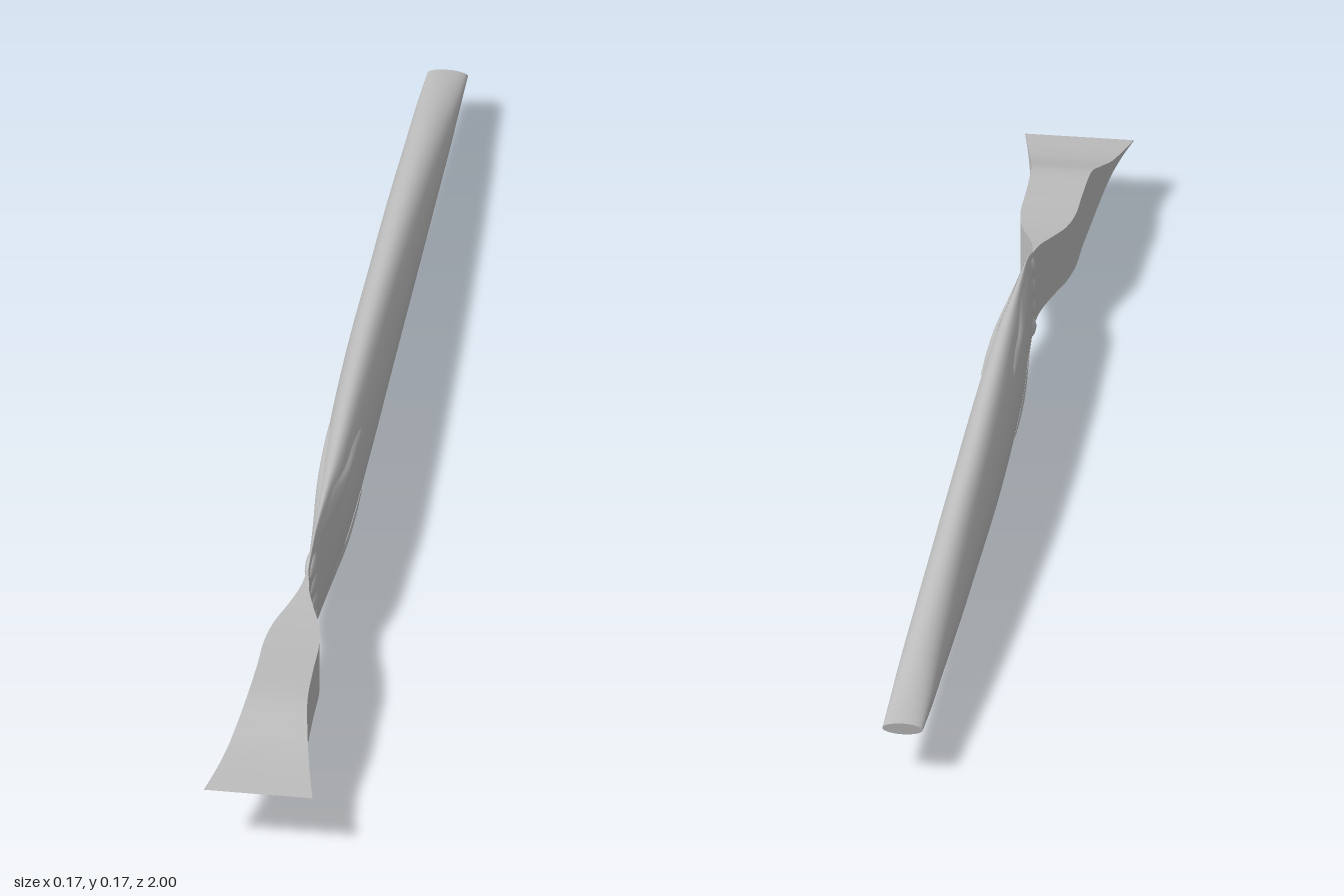
import * as THREE from 'three';
import { mergeVertices } from 'three/addons/utils/BufferGeometryUtils.js';

// Smooth lookup of a row of values by z; rows are [z, ...values], z ascending
function profile(rows) {
  return (z) => {
    let i = 0;
    while (i < rows.length - 2 && z > rows[i + 1][0]) i++;
    const at = (k) => rows[Math.min(Math.max(k, 0), rows.length - 1)];
    const [p, a, b, n] = [at(i - 1), at(i), at(i + 1), at(i + 2)];
    const d = b[0] - a[0];
    const t = Math.min(Math.max((z - a[0]) / d, 0), 1);
    return a.slice(1).map((va, k) => {
      const vb = b[k + 1];
      const ma = (vb - p[k + 1]) / (b[0] - p[0]) * d;
      const mb = (n[k + 1] - va) / (n[0] - a[0]) * d;
      const t2 = t * t, t3 = t2 * t;
      return va * (2 * t3 - 3 * t2 + 1) + ma * (t3 - 2 * t2 + t) + vb * (3 * t2 - 2 * t3) + mb * (t3 - t2);
    });
  };
}

// Grid surface from a rule f(u, v) -> [x, y, z]
function surface(nu, nv, f) {
  const pos = [], index = [];
  for (let j = 0; j <= nv; j++) for (let i = 0; i <= nu; i++) pos.push(...f(i / nu, j / nv));
  for (let j = 0; j < nv; j++) for (let i = 0; i < nu; i++) {
    const a = j * (nu + 1) + i, c = a + nu + 1;
    index.push(a, a + 1, c, a + 1, c + 1, c);
  }
  let g = new THREE.BufferGeometry();
  g.setAttribute('position', new THREE.Float32BufferAttribute(pos, 3));
  g.setIndex(index);
  g = mergeVertices(g, 1e-5);
  g.computeVertexNormals();
  return g;
}

// Long body: z, centre x, centre y, half width, half height
const body = profile([
  [-1, -0.003, 0.071, 0.031, 0.009],
  [-0.9, -0.004, 0.073, 0.033, 0.021],
  [-0.8, -0.004, 0.076, 0.034, 0.033],
  [-0.6, -0.005, 0.08, 0.035, 0.05],
  [-0.4, -0.005, 0.083, 0.035, 0.063],
  [-0.2, -0.005, 0.086, 0.035, 0.072],
  [0, -0.003, 0.088, 0.033, 0.079],
  [0.2, 0, 0.088, 0.027, 0.083],
  [0.3, 0, 0.088, 0.018, 0.085],
  [0.4, 0, 0.088, 0.009, 0.084],
  [0.44, 0, 0.088, 0.006, 0.076],
  [0.48, 0, 0.088, 0.002, 0.062],
]);
// Flared tip: z, half width, half height
const tip = profile([
  [0.48, 0.001, 0.062],
  [0.52, 0.007, 0.056],
  [0.56, 0.02, 0.05],
  [0.6, 0.034, 0.046],
  [0.65, 0.042, 0.044],
  [0.72, 0.043, 0.044],
  [0.8, 0.046, 0.043],
  [0.85, 0.053, 0.028],
  [0.9, 0.062, 0.012],
  [0.95, 0.072, 0.004],
  [1, 0.083, 0.0005],
]);

function bodyPoint(angle, z, lift = 0) {
  const [cx, cy, w, h] = body(z);
  return [cx + (w + lift) * Math.cos(angle), cy + h * Math.sin(angle), z];
}

export function createModel() {
  const group = new THREE.Group();
  const grey = new THREE.MeshStandardMaterial({ color: 0xbbbbbb, side: THREE.DoubleSide });
  grey.name = 'grey';
  const add = (name, geometry) => {
    const mesh = new THREE.Mesh(geometry, grey);
    mesh.name = name;
    group.add(mesh);
    return mesh;
  };

  // Tapering oval body and its flat rear end
  add('body', surface(40, 80, (u, v) => bodyPoint(u * Math.PI * 2, -1 + 1.48 * v)));
  add('rearCap', surface(40, 1, (u, v) => {
    const [x, y, z] = bodyPoint(u * Math.PI * 2, -1);
    return [-0.003 + (x + 0.003) * v, 0.071 + (y - 0.071) * v, z];
  }));

  // Four-sided tip, squeezed upright at the back and flat at the front
  const corners = [[1, -1], [1, 1], [-1, 1], [-1, -1]];
  ['tipLeft', 'tipTop', 'tipRight', 'tipBottom'].forEach((name, k) => {
    const a = corners[k], b = corners[(k + 1) % 4];
    add(name, surface(4, 48, (u, v) => {
      const z = 0.48 + 0.52 * v, [w, h] = tip(z);
      return [w * (a[0] + (b[0] - a[0]) * u), 0.088 + h * (a[1] + (b[1] - a[1]) * u), z];
    }));
  });

  // Pointed folds lying along the front of the body
  for (const side of [1, -1]) for (const level of [1, -1]) {
    add('fold', surface(8, 16, (u, v) => {
      const z = 0.07 + 0.37 * v;
      const spread = 0.3 * Math.sqrt(v) * (1 + 0.25 * Math.sin(v * 14));
      const centre = level * (0.72 + 0.25 * v);
      const angle = (side > 0 ? centre : Math.PI - centre) + (u - 0.5) * 2 * spread;
      return bodyPoint(angle, z, 0.001 + 0.006 * Math.sin(Math.PI * u) * Math.sin(Math.PI * Math.min(v + 0.1, 1)));
    }));
  }

  // Row of small pleats at the pinch
  for (const y of [-0.05, -0.017, 0.017, 0.05]) {
    const pleat = add('pleat', new THREE.SphereGeometry(1, 14, 10));
    pleat.scale.set(0.009, 0.015, 0.03);
    pleat.position.set(0, 0.088 + y, 0.447);
    pleat.rotation.x = 0.25;
  }
  return group;
}
